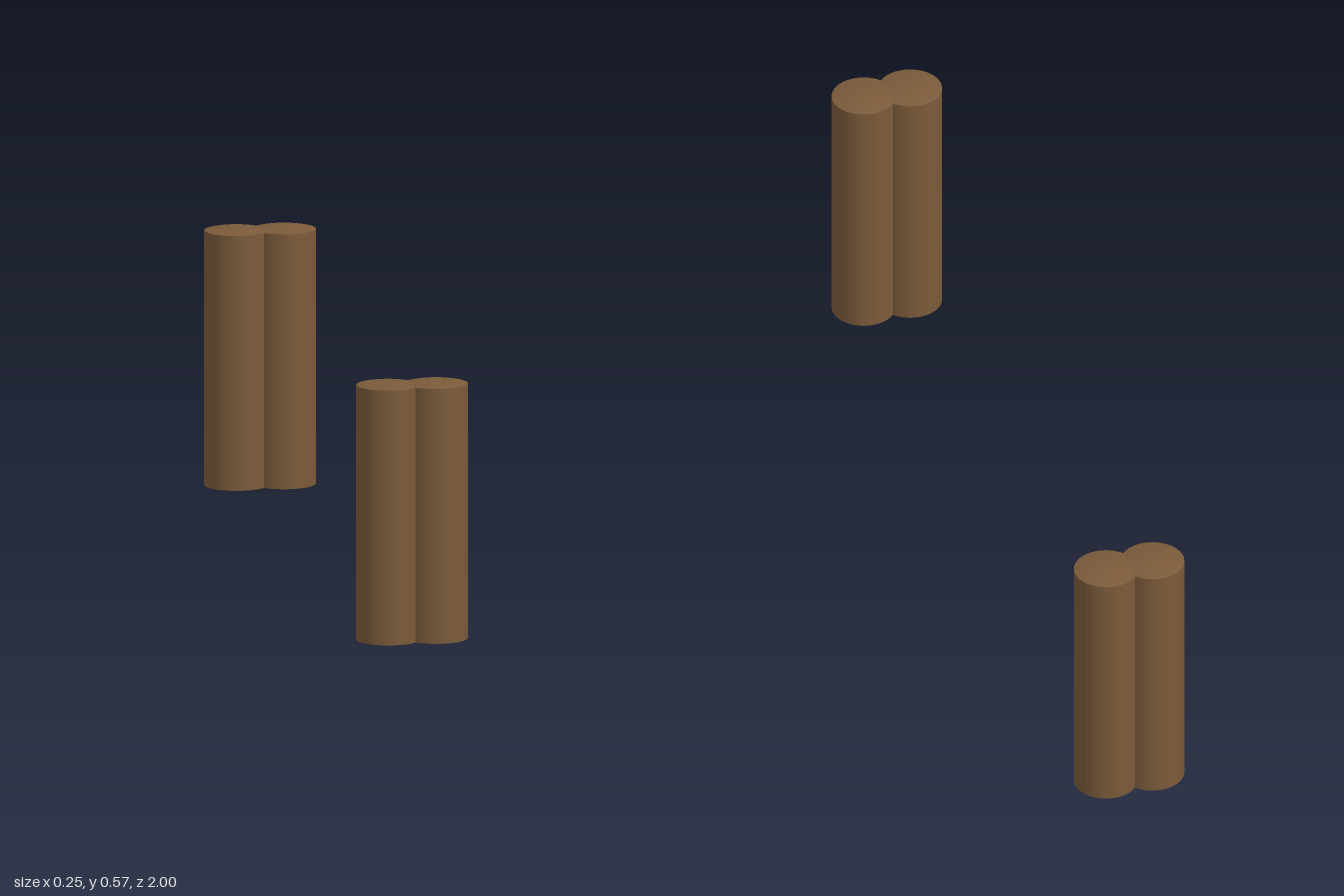
import * as THREE from 'three';

const RADIUS = 0.07;
const RIM = 0.567; // height of the straight wall
const DOME = 0.008; // rise of the domed top
const SEGMENTS = 48;

export function createModel() {
  const model = new THREE.Group();
  model.name = 'pairedPosts';

  const wood = new THREE.MeshStandardMaterial({ color: 0x7a5a3a, side: THREE.DoubleSide });
  wood.name = 'brown wood';

  // Open-bottomed wall
  const wallGeometry = new THREE.CylinderGeometry(RADIUS, RADIUS, RIM, SEGMENTS, 1, true);
  wallGeometry.translate(0, RIM / 2, 0);

  // Shallow domed top, from rim to centre
  const profile = [];
  for (let i = 0; i <= 8; i++) {
    const t = 1 - i / 8;
    profile.push(new THREE.Vector2(RADIUS * t, RIM + DOME * (1 - t * t)));
  }
  const topGeometry = new THREE.LatheGeometry(profile, SEGMENTS);

  // Two overlapping posts at each end
  for (const [end, z] of [['front', 0.93], ['back', -0.93]]) {
    const pair = new THREE.Group();
    pair.name = `${end}Pair`;
    pair.position.z = z;
    for (const [side, x] of [['Left', 0.053], ['Right', -0.053]]) {
      const post = new THREE.Group();
      post.name = `${end}${side}Post`;
      post.position.x = x;
      const wall = new THREE.Mesh(wallGeometry, wood);
      wall.name = 'postWall';
      const top = new THREE.Mesh(topGeometry, wood);
      top.name = 'postTop';
      post.add(wall, top);
      pair.add(post);
    }
    model.add(pair);
  }
  return model;
}
